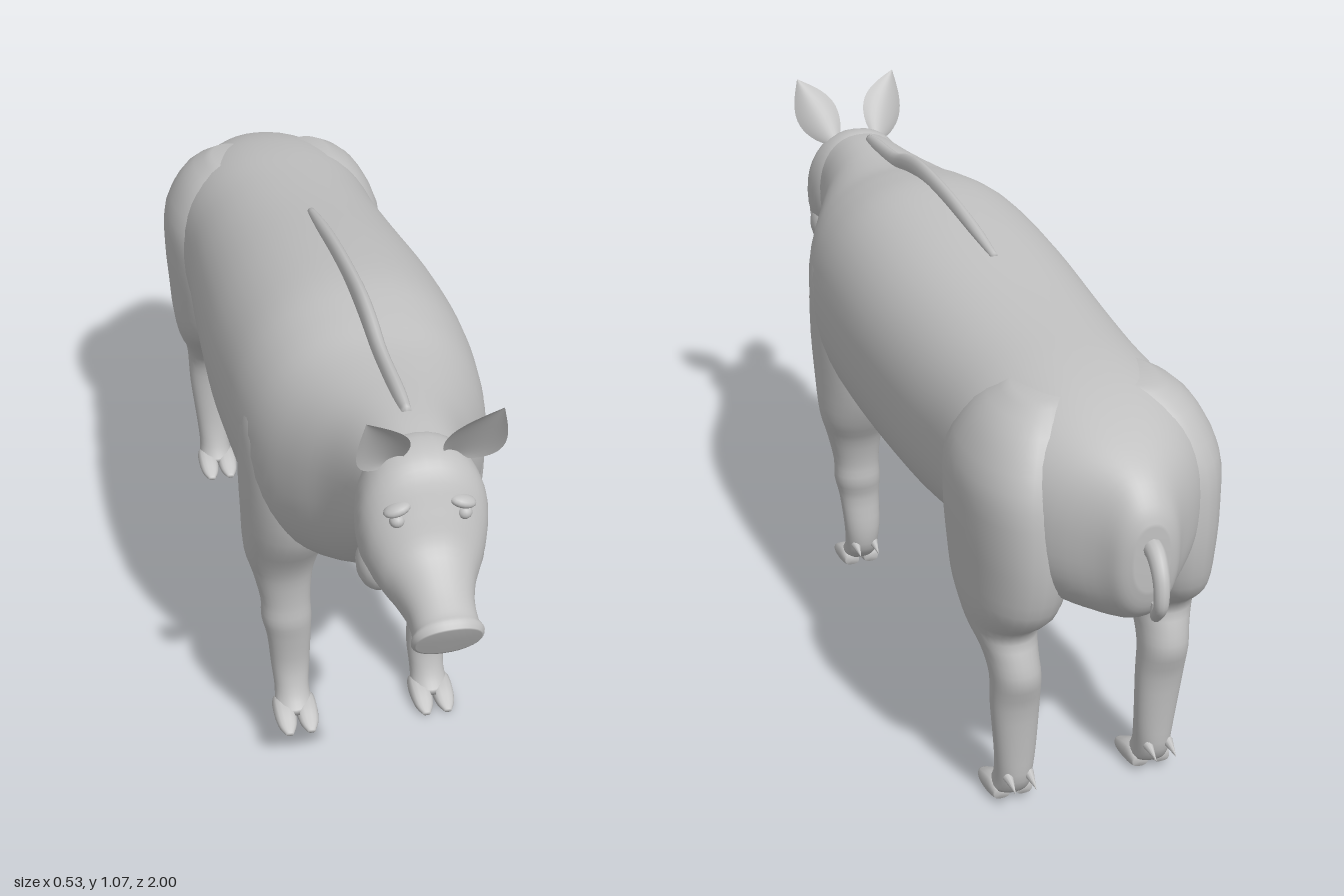
import * as THREE from 'three';

const hide = new THREE.MeshStandardMaterial({ color: 0xc0c0c0, side: THREE.DoubleSide });
hide.name = 'grey hide';

// Smooth interpolation of a table of section rows
function resample(rows, sub) {
  const out = [];
  for (let i = 0; i < rows.length - 1; i++) {
    const p = rows[Math.max(i - 1, 0)], a = rows[i], b = rows[i + 1], q = rows[Math.min(i + 2, rows.length - 1)];
    for (let s = 0; s < sub; s++) {
      const t = s / sub;
      out.push(a.map((v, k) => v + 0.5 * t * (b[k] - p[k] + t * (2 * p[k] - 5 * v + 4 * b[k] - q[k]
        + t * (3 * (v - b[k]) + q[k] - p[k])))));
    }
  }
  out.push(rows[rows.length - 1]);
  return out;
}

// Skin closed rings; place(row, cos, sin) gives a point of a ring
function loft(rows, place, n = 32, sub = 3, power = 2) {
  const rings = resample(rows, sub), pos = [], index = [];
  const pw = v => Math.sign(v) * Math.abs(v) ** (2 / power);
  for (const r of rings) for (let j = 0; j < n; j++) {
    const a = j / n * Math.PI * 2;
    pos.push(...place(r, pw(Math.cos(a)), pw(Math.sin(a))));
  }
  const id = (i, j) => i * n + j % n, last = rings.length - 1;
  for (let i = 0; i < last; i++) for (let j = 0; j < n; j++)
    index.push(id(i, j), id(i, j + 1), id(i + 1, j), id(i + 1, j), id(i, j + 1), id(i + 1, j + 1));
  // end caps
  for (const end of [0, last]) {
    const c = pos.length / 3;
    pos.push(...place(rings[end], 0, 0));
    for (let j = 0; j < n; j++)
      index.push(c, ...(end ? [id(end, j), id(end, j + 1)] : [id(end, j + 1), id(end, j)]));
  }
  const g = new THREE.BufferGeometry();
  g.setAttribute('position', new THREE.Float32BufferAttribute(pos, 3));
  g.setIndex(index);
  g.computeVertexNormals();
  return g;
}

// Rows [z, top, bottom, halfWidth, lean]; lean pulls the underside back
const alongZ = (cx = 0) => ([z, top, bot, w, lean = 0], c, s) =>
  [cx + w * c, (top + bot) / 2 + (top - bot) / 2 * s, z - lean * (1 - s) / 2];
// Rows [y, back, front, inner, outer]
const alongY = side => ([y, z0, z1, x0, x1], c, s) =>
  [side * (x0 + x1) / 2 + (x1 - x0) / 2 * c, y, (z0 + z1) / 2 - (z1 - z0) / 2 * s];

const bodyRows = [
  [-0.935, 0.73, 0.60, 0.035], [-0.92, 0.765, 0.55, 0.06], [-0.88, 0.81, 0.515, 0.09],
  [-0.8, 0.855, 0.495, 0.165], [-0.7, 0.89, 0.48, 0.215], [-0.58, 0.912, 0.475, 0.232],
  [-0.42, 0.928, 0.455, 0.236], [-0.25, 0.947, 0.435, 0.248], [0, 0.98, 0.432, 0.262],
  [0.2, 0.997, 0.432, 0.26], [0.33, 0.985, 0.437, 0.25], [0.43, 0.967, 0.465, 0.228],
  [0.52, 0.962, 0.515, 0.187], [0.6, 0.962, 0.575, 0.145], [0.68, 0.96, 0.64, 0.118], [0.75, 0.952, 0.70, 0.105],
];
const headRows = [
  [0.69, 0.94, 0.71, 0.085, 0], [0.73, 0.958, 0.675, 0.113, 0], [0.78, 0.952, 0.66, 0.122, 0],
  [0.815, 0.925, 0.656, 0.114, 0], [0.845, 0.865, 0.652, 0.097, 0], [0.875, 0.808, 0.65, 0.078, 0],
  [0.925, 0.768, 0.645, 0.063, 0.01], [0.97, 0.742, 0.637, 0.061, 0.025],
  [0.988, 0.735, 0.634, 0.067, 0.035], [1.0, 0.722, 0.642, 0.06, 0.04],
];
const maneRows = [
  [-0.16, 0.966, 0.95, 0.008], [-0.05, 0.99, 0.96, 0.013], [0.1, 1.012, 0.97, 0.014], [0.28, 1.022, 0.97, 0.015],
  [0.38, 1.01, 0.96, 0.015], [0.47, 0.987, 0.94, 0.014], [0.6, 0.98, 0.94, 0.014], [0.66, 0.972, 0.94, 0.01],
];
const frontLegRows = [
  [0.025, 0.315, 0.39, 0.112, 0.195], [0.06, 0.285, 0.362, 0.115, 0.19], [0.12, 0.275, 0.345, 0.11, 0.195],
  [0.2, 0.28, 0.352, 0.108, 0.203], [0.25, 0.268, 0.36, 0.106, 0.214], [0.3, 0.268, 0.358, 0.108, 0.215],
  [0.37, 0.25, 0.366, 0.102, 0.23], [0.43, 0.215, 0.39, 0.085, 0.246], [0.52, 0.18, 0.44, 0.06, 0.25],
  [0.65, 0.17, 0.46, 0.05, 0.253], [0.78, 0.2, 0.44, 0.05, 0.245], [0.88, 0.25, 0.4, 0.06, 0.19],
];
const hindLegRows = [
  [0.025, -0.685, -0.605, 0.112, 0.195], [0.06, -0.705, -0.625, 0.115, 0.19], [0.13, -0.71, -0.64, 0.11, 0.195],
  [0.24, -0.72, -0.642, 0.106, 0.206], [0.31, -0.74, -0.63, 0.108, 0.208], [0.36, -0.73, -0.595, 0.108, 0.216],
  [0.41, -0.72, -0.545, 0.098, 0.234], [0.47, -0.785, -0.465, 0.07, 0.246], [0.55, -0.81, -0.43, 0.05, 0.252],
  [0.65, -0.815, -0.42, 0.04, 0.258], [0.75, -0.8, -0.435, 0.04, 0.253], [0.84, -0.75, -0.49, 0.04, 0.205],
  [0.885, -0.69, -0.55, 0.05, 0.14],
];

// Leaf-shaped ear, cupped forwards
function earGeometry(side) {
  const g = new THREE.PlaneGeometry(1, 1, 10, 14), p = g.attributes.position;
  for (let i = 0; i < p.count; i++) {
    const t = p.getY(i) + 0.5, v = p.getX(i) * 2;
    const w = 0.025 * (1 - t) + 0.036 * Math.sin(Math.PI * t ** 0.85);
    p.setXYZ(i, side * (0.06 + 0.062 * t + 0.9 * w * v), 0.935 + 0.135 * t - 0.42 * w * v,
      0.768 + 0.08 * t + 0.4 * w * v * v);
  }
  g.computeVertexNormals();
  return g;
}

function tailGeometry() {
  const pts = [[0, 0.69, -0.905], [0, 0.685, -0.945], [0.003, 0.65, -0.978], [0.005, 0.6, -0.987],
    [0, 0.57, -0.965], [-0.008, 0.552, -0.942], [-0.01, 0.575, -0.938]];
  const curve = new THREE.CatmullRomCurve3(pts.map(a => new THREE.Vector3(...a)));
  const n = 40, g = new THREE.TubeGeometry(curve, n, 0.02, 12), p = g.attributes.position, v = new THREE.Vector3();
  // taper towards the tip
  for (let i = 0; i < p.count; i++) {
    const t = Math.floor(i / 13) / n, c = curve.getPointAt(t);
    v.fromBufferAttribute(p, i).sub(c).multiplyScalar(1 - 0.55 * t).add(c);
    p.setXYZ(i, v.x, v.y, v.z);
  }
  return g;
}

export function createModel() {
  const model = new THREE.Group();
  model.name = 'pig';
  const add = (name, geometry, parent = model) => {
    const m = new THREE.Mesh(geometry, hide);
    m.name = name;
    parent.add(m);
    return m;
  };
  const ball = (name, pos, size) => {
    const m = add(name, new THREE.SphereGeometry(1, 16, 12));
    m.position.set(...pos);
    m.scale.set(...size);
    return m;
  };

  add('body', loft(bodyRows, alongZ(), 48, 4, 2.25));
  add('head', loft(headRows, alongZ(), 36, 4, 2.2));
  add('mane', loft(maneRows, alongZ(), 12, 4));
  add('tail', tailGeometry());

  for (const side of [1, -1]) {
    const tag = side > 0 ? 'left' : 'right';
    add(tag + 'Ear', earGeometry(side));
    ball(tag + 'Eye', [side * 0.062, 0.853, 0.838], [0.014, 0.013, 0.014]);
    ball(tag + 'Brow', [side * 0.06, 0.872, 0.83], [0.026, 0.012, 0.018]).rotation.z = -side * 0.3;
    ball(tag + 'Jowl', [side * 0.08, 0.72, 0.775], [0.04, 0.055, 0.05]);

    for (const [kind, rows, z] of [['Front', frontLegRows, 0], ['Hind', hindLegRows, -0.99]]) {
      const leg = new THREE.Group();
      leg.name = tag + kind + 'Leg';
      model.add(leg);
      add('limb', loft(rows, alongY(side), 28, 3, 2.1), leg);
      for (const k of [-1, 1]) {
        // cloven hoof
        const x = side * 0.153 + k * 0.024;
        add('toe', loft([[z + 0.318, 0.03, 0.006, 0.017], [z + 0.34, 0.045, 0, 0.023], [z + 0.375, 0.038, 0, 0.024],
          [z + 0.405, 0.022, 0, 0.019], [z + 0.425, 0.01, 0.001, 0.008]], alongZ(x), 14, 3, 2.6), leg);
        // dewclaw
        const claw = add('dewclaw', new THREE.ConeGeometry(0.011, 0.045, 10), leg);
        claw.position.set(side * 0.153 + k * 0.022, 0.068, z + 0.272);
        claw.rotation.x = -Math.PI / 2 - 0.3;
      }
    }
  }
  return model;
}
